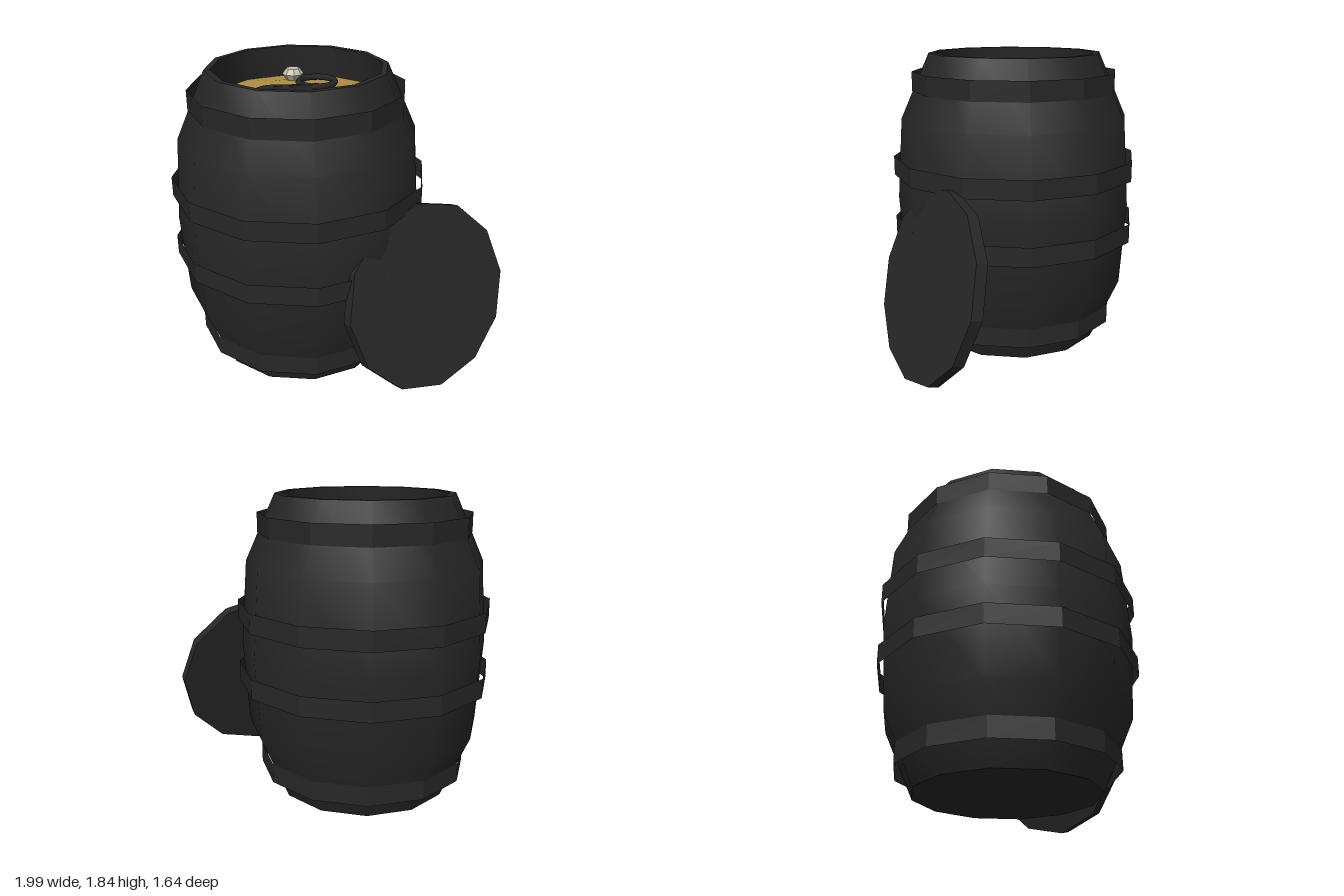
import * as THREE from 'three';
import { toCreasedNormals } from 'three/addons/utils/BufferGeometryUtils.js';

const SIDES = 12;

function material(name, color, extra = {}) {
  const m = new THREE.MeshStandardMaterial({ color, ...extra });
  m.name = name;
  return m;
}

function lathe(points, sides = SIDES) {
  return new THREE.LatheGeometry(points.map(([r, y]) => new THREE.Vector2(r, y)), sides);
}

export function createModel() {
  const model = new THREE.Group();
  model.name = 'openBarrel';
  const dark = material('charcoal', 0x272727, { side: THREE.DoubleSide });
  const gold = material('goldenLiquid', 0xb39145);
  const pale = material('paleStone', 0xc8c0ae);

  const add = (parent, name, geometry, mat, x = 0, y = 0, z = 0) => {
    const mesh = new THREE.Mesh(geometry, mat);
    mesh.name = name;
    mesh.position.set(x, y, z);
    parent.add(mesh);
    return mesh;
  };

  const barrel = new THREE.Group();
  barrel.name = 'barrel';
  barrel.position.set(-0.223, 0, -0.06);
  model.add(barrel);

  // Bulging body: closed bottom, outer wall, rim and inner wall
  const body = lathe([
    [0, 0], [0.54, 0], [0.72, 0.41], [0.755, 0.92], [0.72, 1.43],
    [0.54, 1.835], [0.505, 1.835], [0.53, 1.62],
  ]);
  add(barrel, 'body', toCreasedNormals(body, 0.75), dark);

  // Straight hoops standing slightly clear of the body
  for (const [y, r] of [[0.177, 0.648], [0.737, 0.776], [1.13, 0.776], [1.662, 0.648]]) {
    const hoop = new THREE.CylinderGeometry(r, r, 0.12, SIDES, 1, true);
    add(barrel, 'hoop', toCreasedNormals(hoop, 0.1), dark, 0, y, 0);
  }

  // Gently domed contents
  add(barrel, 'contents', lathe([[0.528, 1.64], [0.27, 1.685], [0, 1.7]]), gold);

  // Two rings joined by a straight bar, lying on the contents
  const frame = new THREE.Group();
  frame.name = 'joinedRings';
  frame.position.y = 1.715;
  barrel.add(frame);
  for (const [x, z] of [[0.123, -0.073], [-0.15, 0.122]]) {
    const ring = new THREE.TorusGeometry(0.109, 0.019, 6, 24).rotateX(Math.PI / 2);
    add(frame, 'ring', ring, dark, x, 0, z);
  }
  add(frame, 'bar', new THREE.BoxGeometry(0.27, 0.03, 0.028), dark, -0.012, 0, 0.025);

  // Faceted stone beside the rings
  const stone = lathe([[0, -0.045], [0.035, -0.04], [0.066, 0.01], [0.042, 0.042], [0, 0.045]], 8);
  add(barrel, 'stone', toCreasedNormals(stone, 0.1), pale, 0, 1.715, -0.25);

  // Round lid leaning against the barrel
  const across = new THREE.Vector3(0.92, 0, -0.394).normalize();
  const facing = new THREE.Vector3(0.38, 0.264, 0.887);
  facing.addScaledVector(across, -facing.dot(across)).normalize();
  const lower = new THREE.Vector3().crossVectors(across, facing);
  const thickness = 0.07;
  const lid = add(model, 'lid', new THREE.CylinderGeometry(0.57, 0.57, thickness, SIDES), dark);
  lid.geometry = toCreasedNormals(lid.geometry, 0.1);
  lid.quaternion.setFromRotationMatrix(new THREE.Matrix4().makeBasis(across, facing, lower));
  lid.position.set(0.468, 0.567, 0.545).addScaledVector(facing, -thickness / 2);

  return model;
}
